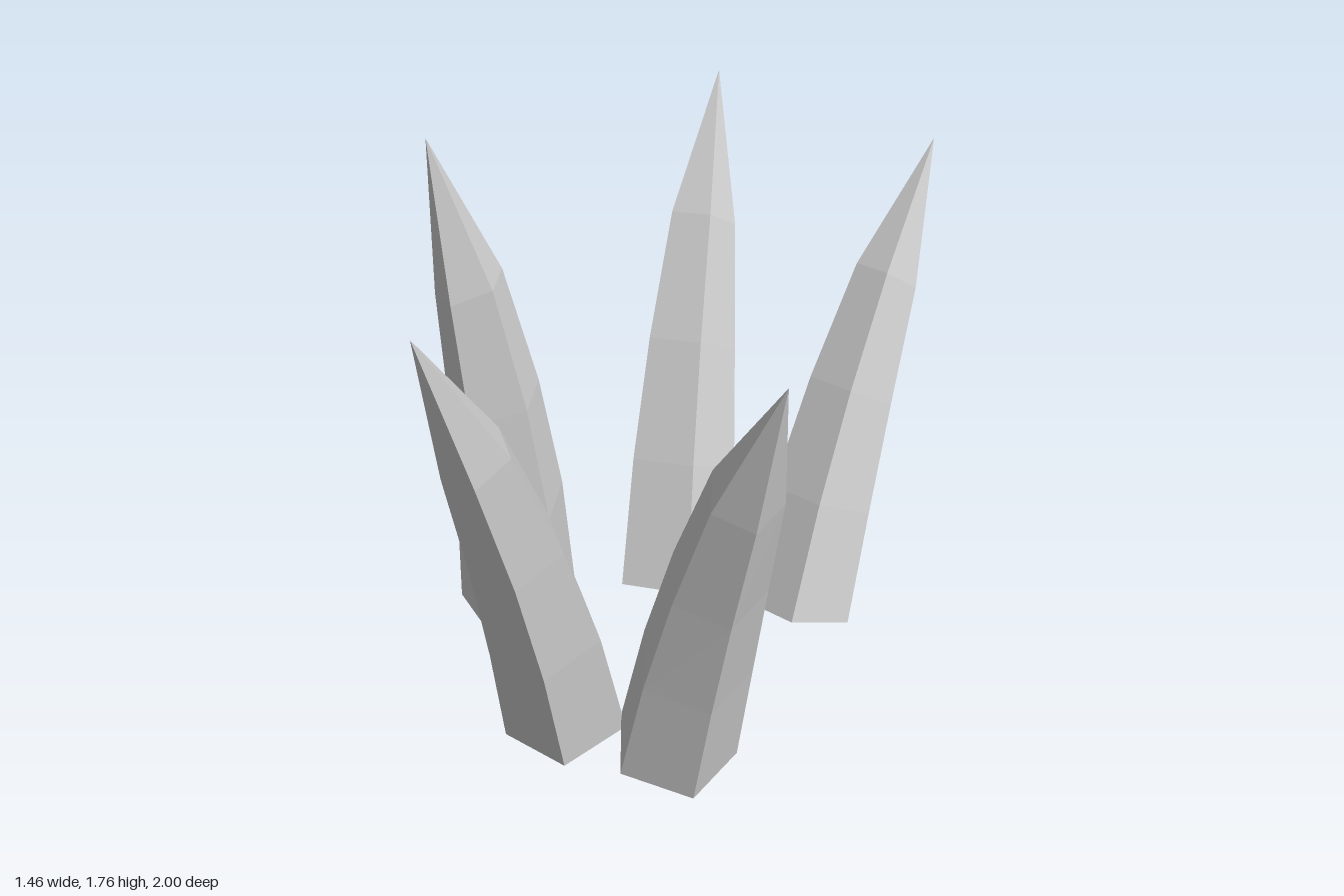
import * as THREE from 'three';

// One spike, from base to point: distance along the axis and radius of each ring
const RINGS = [[0, 0.195], [0.24, 0.177], [0.47, 0.15], [0.71, 0.112], [1, 0]];
const HEIGHT = 1.65;
const BEND = 0.2;

// Five-sided tapering spike, curving towards its own +z
function spikeGeometry() {
  const geo = new THREE.CylinderGeometry(0, 1, 1, 5, RINGS.length - 1);
  const pos = geo.attributes.position;
  for (let i = 0; i < pos.count; i++) {
    const [t, r] = RINGS[Math.round((pos.getY(i) + 0.5) * (RINGS.length - 1))];
    const len = Math.hypot(pos.getX(i), pos.getZ(i));
    const k = len > 1e-6 ? r / len : 0;
    const x = pos.getX(i) * k, z = pos.getZ(i) * k;
    const tilt = 0.45 * t; // rings lean with the curve
    pos.setXYZ(i, x,
      HEIGHT * t - z * Math.sin(tilt),
      BEND * t * t + z * Math.cos(tilt));
  }
  const flat = geo.toNonIndexed();
  flat.computeVertexNormals();
  return flat;
}

// name, centre of the base, point, direction (x, z) of the curve
const SPIKES = [
  ['leftmostSpike', [-0.55, 0.12, 0.24], [-0.73, 1.77, 0.33], [-0.17, 0.09]],
  ['frontSpike', [-0.14, 0.04, 0.52], [-0.20, 1.63, 1.00], [-0.12, 0.16]],
  ['frontRightSpike', [0.225, 0.055, 0.46], [0.72, 1.64, 0.63], [0.155, 0.11]],
  ['backRightSpike', [0.21, 0.15, -0.225], [0.17, 1.49, -1.00], [0.03, -0.18]],
  ['backLeftSpike', [-0.20, 0.14, -0.12], [-0.56, 1.57, -0.87], [-0.04, -0.18]],
];
// Names follow the model's own left and right
const OWN_SIDE = {
  leftmostSpike: 'outerRightSpike',
  frontSpike: 'frontSpike',
  frontRightSpike: 'frontLeftSpike',
  backRightSpike: 'backLeftSpike',
  backLeftSpike: 'backRightSpike',
};

export function createModel() {
  const group = new THREE.Group();
  group.name = 'spikeCluster';
  const geo = spikeGeometry();
  const mat = new THREE.MeshStandardMaterial({ color: 0xcccccc, flatShading: true });
  const up = new THREE.Vector3(0, 1, 0);

  for (const [name, base, tip, [dx, dz]] of SPIKES) {
    const mesh = new THREE.Mesh(geo, mat);
    mesh.name = OWN_SIDE[name];
    mesh.position.set(...base);
    // Turn the curve to its direction, then lean the spike so its point lands on tip
    const turn = new THREE.Quaternion().setFromAxisAngle(up, Math.atan2(dx, dz));
    const chord = new THREE.Vector3(0, HEIGHT, BEND).applyQuaternion(turn);
    const target = new THREE.Vector3(...tip).sub(mesh.position);
    mesh.scale.setScalar(target.length() / chord.length());
    mesh.quaternion.setFromUnitVectors(chord.normalize(), target.normalize()).multiply(turn);
    group.add(mesh);
  }
  return group;
}
